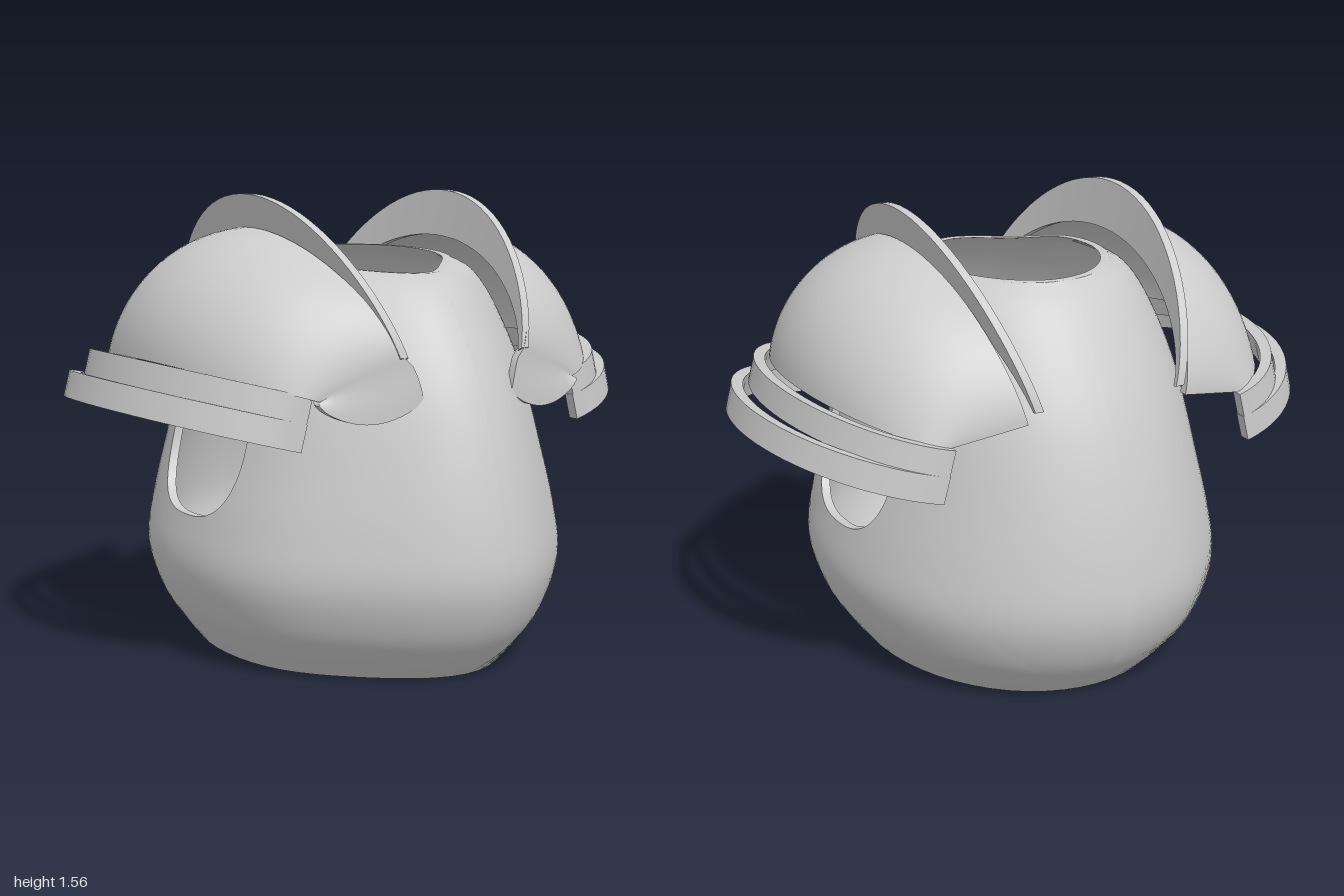
import * as THREE from 'three';
import { toCreasedNormals } from 'three/addons/utils/BufferGeometryUtils.js';

const grey = new THREE.MeshStandardMaterial({ color: 0xcccccc, side: THREE.DoubleSide });
const lerp = THREE.MathUtils.lerp;

// Thick sheet: f(u, v, d) gives the point at depth d below the outer face.
// side = -1 mirrors it across x; closed joins u = 1 to u = 0.
function shell(name, f, nu, nv, thick, side, closed = false) {
  const pos = [], index = [], ring = 2 * (nv + 1);
  for (let i = 0; i <= nu; i++) {
    for (let k = 0; k < ring; k++) {
      const inner = k > nv;
      const p = f(i / nu, (inner ? ring - 1 - k : k) / nv, inner ? thick : 0);
      pos.push(p[0] * side, p[1], p[2]);
    }
  }
  const tri = (a, b, c) => (side > 0 ? index.push(a, b, c) : index.push(a, c, b));
  const quad = (a, b, c, d) => { tri(a, b, c); tri(a, c, d); };
  for (let i = 0; i < nu; i++) {
    for (let k = 0; k < ring; k++) {
      const n = (k + 1) % ring, r = i * ring, s = r + ring;
      quad(r + k, s + k, s + n, r + n);
    }
  }
  if (!closed) {
    for (let j = 0; j < nv; j++) {
      const e = nu * ring, m = ring - 1 - j;
      quad(j, j + 1, m - 1, m);
      quad(e + m, e + m - 1, e + j + 1, e + j);
    }
  }
  const geo = new THREE.BufferGeometry();
  geo.setAttribute('position', new THREE.Float32BufferAttribute(pos, 3));
  geo.setIndex(index);
  const mesh = new THREE.Mesh(toCreasedNormals(geo, 0.8), grey);
  mesh.name = name;
  return mesh;
}

// Torso profile: half width, height, half depth
const profile = new THREE.CatmullRomCurve3([
  [0.53, 0, 0.65], [0.59, 0.08, 0.725], [0.65, 0.18, 0.8], [0.69, 0.33, 0.85],
  [0.665, 0.5, 0.835], [0.615, 0.7, 0.79], [0.57, 0.9, 0.725], [0.53, 1.05, 0.655],
  [0.47, 1.2, 0.56], [0.41, 1.29, 0.48], [0.33, 1.33, 0.42],
].map((p) => new THREE.Vector3(...p)), false, 'catmullrom');

// Torso surface by angle (0 = front, PI = back) and profile position, with a front ridge
function torsoPoint(theta, t, d) {
  const p = profile.getPoint(t);
  const s = Math.sin(theta), c = Math.cos(theta);
  const pinch = c > 0 ? (0.1 + 0.1 * t ** 4) * Math.sin(2 * theta) ** 2 : 0;
  return [(p.x - d) * s, p.y + t ** 8 * (0.02 * s * s - 0.025 * c), (p.z - d) * c * (1 - pinch)];
}

// Half torso: runs from the panel's border (v = 0) in to the arm hole (v = 1)
function halfTorso(u, v, d) {
  const side = Math.min(3, Math.floor(u * 4)), w = u * 4 - side;
  const [bx, by] = [[w, 0], [1, w], [1 - w, 1], [0, 1 - w]][side];
  const cx = 1.61, cy = 0.59, n = 2.7;
  const dx = bx * Math.PI - cx, dy = by - cy;
  const k = (Math.abs(dx / 0.34) ** n + Math.abs(dy / 0.19) ** n) ** (-1 / n);
  const r = lerp(1, k, v);
  return torsoPoint(cx + dx * r, cy + dy * r, d);
}

// Shoulder dome: arches from front to back, with a rounded tab hanging at the front
function dome(u, v, d) {
  const a = 1 - v, tab = 0.1;
  const w = Math.max(0, (u - tab) / (1 - tab)) * Math.PI;
  const back = (1 - Math.cos(w)) / 2, lift = Math.sin(w) ** 1.25;
  const A = 0.1 + 1.4 * a;
  const bx = lerp(lerp(0.24, 0.52, a), lerp(0.29, 0.55, a), back);
  const by = lerp(lerp(1.06, 0.94, a), lerp(1.0, 0.95, a), back);
  let x = lerp(bx, 0.36 + 0.46 * Math.sin(A), lift);
  let y = lerp(by, 1 + 0.45 * Math.cos(A), lift);
  let z = lerp(0.63 - 0.07 * a, -0.69 + 0.05 * a, back);
  if (u < tab) {
    const s = 1 - u / tab;
    x = lerp(x, 0.18 + 0.35 * a, Math.sqrt(s));
    y = lerp(y, 0.93 - 0.07 * Math.sin(Math.PI * a) ** 0.7, s);
    z += 0.015 * Math.sin(s * Math.PI / 2);
  }
  return [x - d * Math.sin(A) * lift, y - d * Math.cos(A) * lift, z - d * Math.cos(w)];
}

// Raised collar plate standing on the dome's inner edge
function collar(u, v, d) {
  const w = lerp(0.12, Math.PI - 0.05, u), lift = Math.sin(w) ** 1.3;
  const x = lerp(0.25, lerp(0.385, 0.415, v), lift) + 0.02 * lerp(0, 1, (1 - Math.cos(w)) / 2);
  const y = lerp(1.03, lerp(1.4, 1.56, v), lift);
  return [x - d, y, -0.035 + (0.655 + 0.015 * v) * Math.cos(w)];
}

// Tilted half-ring band below the dome; (x, y) is the lower corner of its ends
const band = (x, y, reach) => (u, v, d) => {
  const w = u * Math.PI, h = 0.09 * v, r = (reach - d) * Math.sin(w);
  return [x + r * 0.966 - h * 0.26, y + r * 0.26 + h * 0.966, -0.065 + (0.6 - d) * Math.cos(w)];
};

export function createModel() {
  const model = new THREE.Group();
  model.name = 'torsoArmour';
  for (const [side, label] of [[1, 'left'], [-1, 'right']]) {
    model.add(shell(label + 'BreastplateHalf', halfTorso, 112, 22, 0.03, side, true));
    const pauldron = new THREE.Group();
    pauldron.name = label + 'Pauldron';
    pauldron.add(
      shell('shoulderDome', dome, 50, 18, 0.03, side),
      shell('collarPlate', collar, 40, 4, 0.03, side),
      shell('upperBand', band(0.55, 0.865, 0.37), 36, 2, 0.04, side),
      shell('lowerBand', band(0.57, 0.782, 0.445), 36, 2, 0.04, side),
    );
    model.add(pauldron);
  }
  return model;
}
